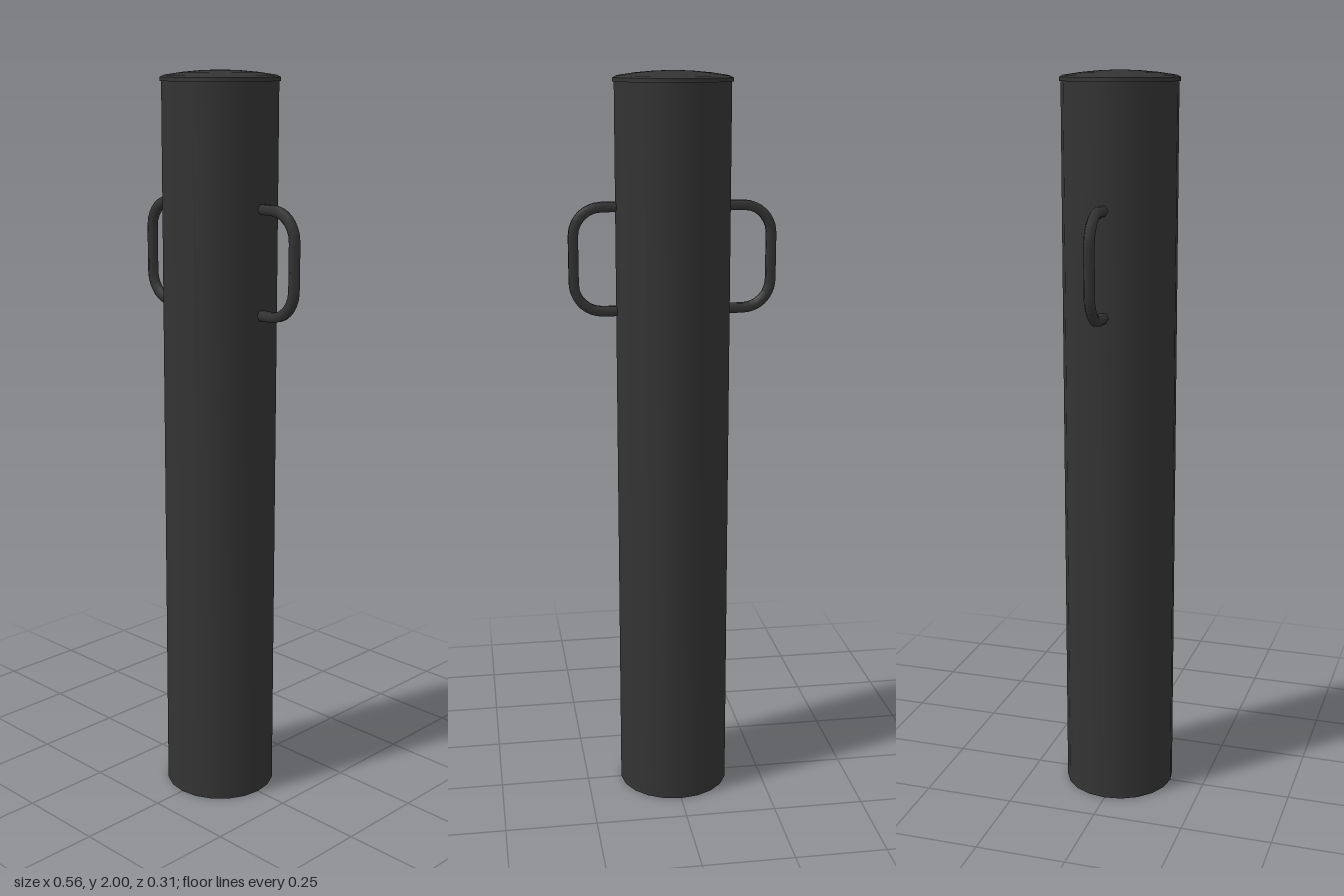
import * as THREE from 'three';
import { toCreasedNormals } from 'three/addons/utils/BufferGeometryUtils.js';

const SIDES = 20;

export function createModel() {
  const group = new THREE.Group();
  const metal = new THREE.MeshStandardMaterial({ color: 0x333333 });

  const add = (name, geometry) => {
    const mesh = new THREE.Mesh(geometry, metal);
    mesh.name = name;
    group.add(mesh);
    return mesh;
  };
  const lathe = (points) => toCreasedNormals(
    new THREE.LatheGeometry(points.map(([r, y]) => new THREE.Vector2(r, y)), SIDES), 0.4);

  // Long post with a closed bottom
  add('post', lathe([[0, 0], [0.153, 0], [0.153, 1.975]]));

  // Slightly overhanging, gently domed cap
  add('cap', lathe([
    [0.15, 1.972], [0.157, 1.972], [0.157, 1.982], [0.147, 1.987],
    [0.1, 1.994], [0.05, 1.9985], [0, 2],
  ]));

  // Bent-rod handle: two arms, rounded corners and a vertical grip
  const inner = 0.14, outer = 0.265, low = 1.38, high = 1.655, r = 0.075;
  const v = (x, y) => new THREE.Vector3(x, y, 0);
  const corner = (cx, cy, start) => {
    const points = [];
    for (let i = 0; i <= 6; i++) {
      const a = start + (i / 6) * Math.PI / 2;
      points.push(v(cx + r * Math.cos(a), cy + r * Math.sin(a)));
    }
    return points;
  };
  const points = [
    v(inner, low),
    ...corner(outer - r, low + r, -Math.PI / 2),
    ...corner(outer - r, high - r, 0),
    v(inner, high),
  ];
  const path = new THREE.CurvePath();
  for (let i = 1; i < points.length; i++) path.add(new THREE.LineCurve3(points[i - 1], points[i]));
  const handle = new THREE.TubeGeometry(path, 56, 0.015, 6);

  add('leftHandle', handle);
  add('rightHandle', handle).rotation.y = Math.PI;

  return group;
}
